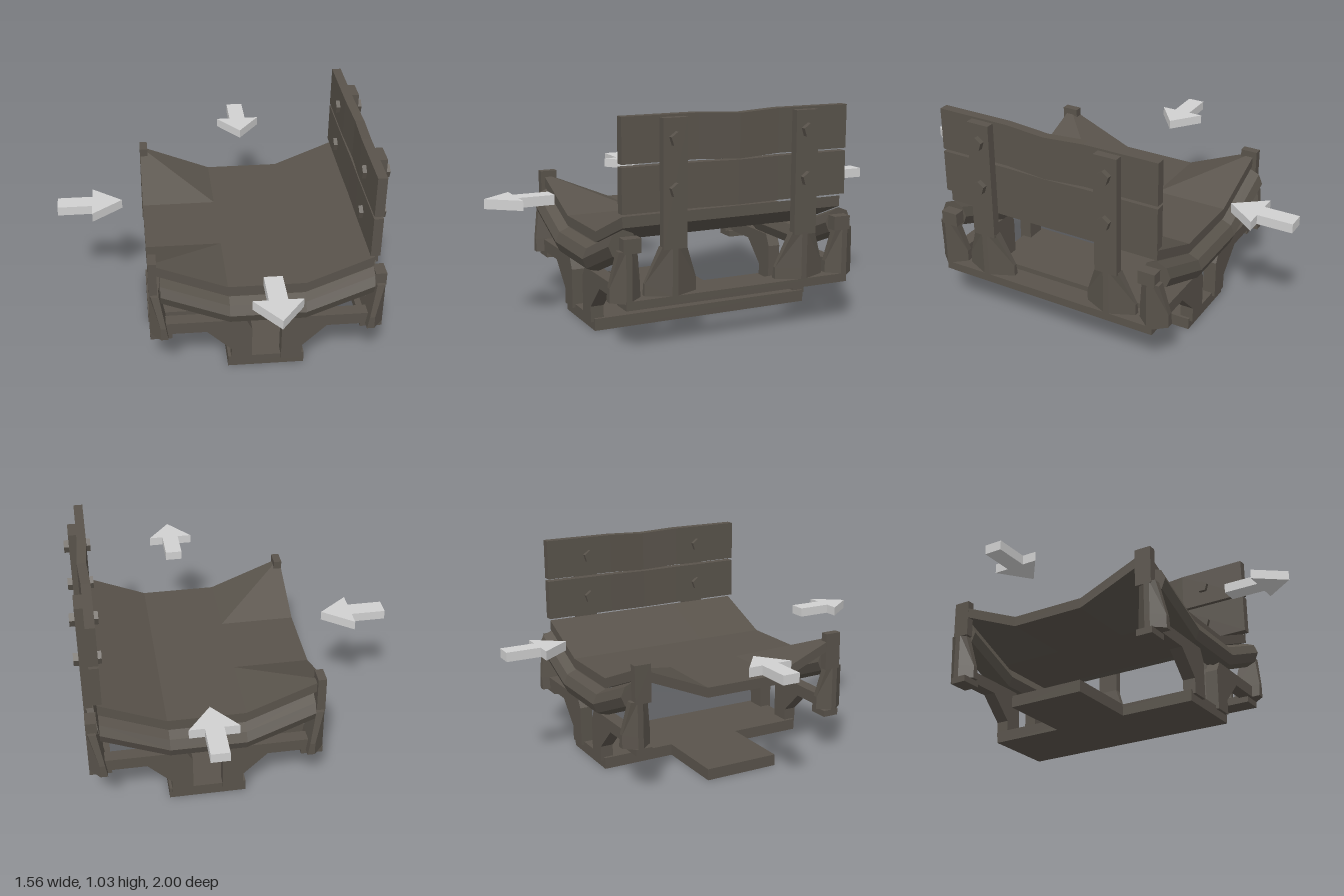
import * as THREE from 'three';

const wood = new THREE.MeshStandardMaterial({ color: 0x59534b });
wood.name = 'dark weathered wood';
const grey = new THREE.MeshStandardMaterial({ color: 0xd0d0d0 });
grey.name = 'light grey';

function add(parent, name, geometry, material = wood) {
  const mesh = new THREE.Mesh(geometry, material);
  mesh.name = name;
  parent.add(mesh);
  return mesh;
}

// Box from its limits on each axis
function box(parent, name, x0, x1, y0, y1, z0, z1) {
  const mesh = add(parent, name, new THREE.BoxGeometry(x1 - x0, y1 - y0, Math.abs(z1 - z0)));
  mesh.position.set((x0 + x1) / 2, (y0 + y1) / 2, (z0 + z1) / 2);
}

// Closed faceted solid through loops of [x, y, z] points
function loft(sections) {
  const tris = [];
  const d = (p, q) => Math.hypot(p[0] - q[0], p[1] - q[1], p[2] - q[2]);
  const quad = (a, b, c, e) => {
    if (d(a, c) >= d(b, e)) tris.push([a, b, c], [a, c, e]);
    else tris.push([a, b, e], [b, c, e]);
  };
  const n = sections[0].length;
  for (let i = 0; i < sections.length - 1; i++) {
    const s = sections[i], t = sections[i + 1];
    for (let j = 0; j < n; j++) quad(s[j], s[(j + 1) % n], t[(j + 1) % n], t[j]);
  }
  const first = sections[0], last = sections[sections.length - 1];
  for (let k = 0; k < n / 2 - 1; k++) {
    quad(first[n - 1 - k], first[n - 2 - k], first[k + 1], first[k]);
    quad(last[k], last[k + 1], last[n - 2 - k], last[n - 1 - k]);
  }
  // Turn every face outward
  let volume = 0;
  for (const [a, b, c] of tris) {
    volume += new THREE.Vector3(...a).dot(new THREE.Vector3(...b).cross(new THREE.Vector3(...c)));
  }
  if (volume < 0) tris.forEach((t) => t.reverse());
  const g = new THREE.BufferGeometry();
  g.setAttribute('position', new THREE.Float32BufferAttribute(tris.flat(2), 3));
  g.computeVertexNormals();
  return g;
}

function extrude(points, depth) {
  const shape = new THREE.Shape(points.map(([x, y]) => new THREE.Vector2(x, y)));
  return new THREE.ExtrudeGeometry(shape, { depth, bevelEnabled: false });
}

// Gusset foot: narrow ridge on the outside, slanted cheeks, tapering up to a post
function gusset(parent, name, outerX, dir, z, wide, narrow, y0, deep) {
  const ridge = 0.014;
  const section = (y, depth, cheek, half) => {
    const [inner, mid] = [outerX + dir * depth, outerX + dir * cheek];
    return [[inner, y, z - half], [mid, y, z - half], [outerX, y, z - ridge],
      [outerX, y, z + ridge], [mid, y, z + half], [inner, y, z + half]];
  };
  add(parent, name, loft([
    section(y0, deep, 0.05, wide),
    section(0.295, deep * 0.88, 0.05, wide),
    section(0.46, 0.046, 0.01, narrow),
  ]));
}

export function createModel() {
  const model = new THREE.Group();
  model.name = 'loadingTray';
  const body = new THREE.Group();
  body.name = 'trayBody';
  body.position.set(0.004, 0, -0.014);
  model.add(body);

  // T-shaped base
  box(body, 'basePlate', 0.01, 0.38, 0, 0.057, -0.56, 0.56);
  box(body, 'baseTongue', -0.365, 0.01, 0, 0.057, -0.19, 0.19);

  // Tray bed: folded up at the back end, two raised corners at the open end
  const bedZ = [-0.55, -0.19, 0.19, 0.55];
  const bedSections = [[-0.363, 0.62, 0.47], [0.007, 0.47, 0.47], [0.378, 0.47, 0.47], [0.692, 0.6, 0.6]]
    .map(([x, side, mid]) => {
      const top = bedZ.map((z, i) => [x, i === 0 || i === 3 ? side : mid, z]);
      return [...top, ...top.map(([a, y, z]) => [a, y - 0.05, z]).reverse()];
    });
  add(body, 'trayBed', loft(bedSections));

  // Cross beam under the backrest
  box(body, 'rearCrossBeam', 0.647, 0.753, 0.2, 0.24, -0.56, 0.56);

  for (const s of [1, -1]) {
    // Bent octagonal side rail
    const rail = [[-0.31, 0.479], [0.012, 0.347], [0.373, 0.347], [0.69, 0.477]].map(([x, y]) =>
      Array.from({ length: 8 }, (_, i) => {
        const a = (i * Math.PI) / 4;
        return [x, y + 0.067 * Math.sin(a), s * 0.547 + 0.068 * Math.cos(a)];
      }));
    add(body, 'sideRail', loft(rail));

    // Angled legs with their side beams
    const legs = [
      [[0.025, 0.04], [0.123, 0.04], [0.123, 0.23], [0.093, 0.29], [-0.33, 0.29], [-0.33, 0.23], [-0.094, 0.23], [0.025, 0.115]],
      [[0.266, 0.04], [0.367, 0.04], [0.367, 0.115], [0.482, 0.23], [0.72, 0.23], [0.72, 0.29], [0.297, 0.29], [0.266, 0.24]],
    ];
    for (const points of legs) {
      add(body, 'sideLeg', extrude(points, 0.064)).position.z = s * 0.543 - 0.032;
    }

    // Corner posts and feet
    gusset(body, 'frontCornerGusset', -0.364, 1, s * 0.545, 0.072, 0.042, 0.23, 0.085);
    gusset(body, 'rearCornerGusset', 0.753, -1, s * 0.545, 0.072, 0.042, 0.23, 0.085);
    box(body, 'frontCornerPost', -0.364, -0.324, 0.45, 0.635, s * 0.487, s * 0.57);
    box(body, 'rearCornerPost', 0.7, 0.753, 0.45, 0.515, s * 0.487, s * 0.57);
    box(body, 'frontCornerFoot', -0.364, -0.258, 0.2, 0.232, s * 0.487, s * 0.57);

    // Backrest uprights with gussets and five-sided bolts
    const z = s * 0.327;
    box(body, 'backrestPost', 0.713, 0.753, 0.45, 1.02, z - 0.057, z + 0.057);
    gusset(body, 'postGusset', 0.753, -1, z, 0.125, 0.058, 0.24, 0.075);
    for (const y of [0.71, 0.93]) {
      const geometry = new THREE.CylinderGeometry(0.033, 0.033, 0.13, 5).toNonIndexed();
      geometry.rotateY(-Math.PI / 2).rotateZ(-Math.PI / 2);
      geometry.computeVertexNormals();
      add(body, 'backrestBolt', geometry).position.set(0.713, y, z);
    }
  }

  // Backrest planks, the upper one slightly bowed
  for (const [name, y0, y1, bow] of [['lowerPlank', 0.613, 0.815, 0.003], ['upperPlank', 0.828, 1.03, 0.01]]) {
    add(body, name, loft([-0.56, -0.2, 0, 0.2, 0.56].map((z) => {
      const b = z === 0 ? bow : 0;
      return [[0.668 + b, y0 - b, z], [0.713 + b, y0 - b, z], [0.713 + b, y1 - b, z], [0.668 + b, y1 - b, z]];
    })));
  }

  // Floating direction arrows, centred on their length
  const outline = [[-0.159, -0.043], [0.012, -0.043], [0.012, -0.114], [0.159, 0], [0.012, 0.114], [0.012, 0.043], [-0.159, 0.043]];
  for (const [x, z, turn] of [[-0.623, -0.022, 0], [0.199, -0.841, -Math.PI / 2], [0.199, 0.839, -Math.PI / 2]]) {
    const arrow = add(model, 'directionArrow', extrude(outline, 0.046).rotateX(-Math.PI / 2), grey);
    arrow.position.set(x, 0.58, z);
    arrow.rotation.y = turn;
  }
  return model;
}
